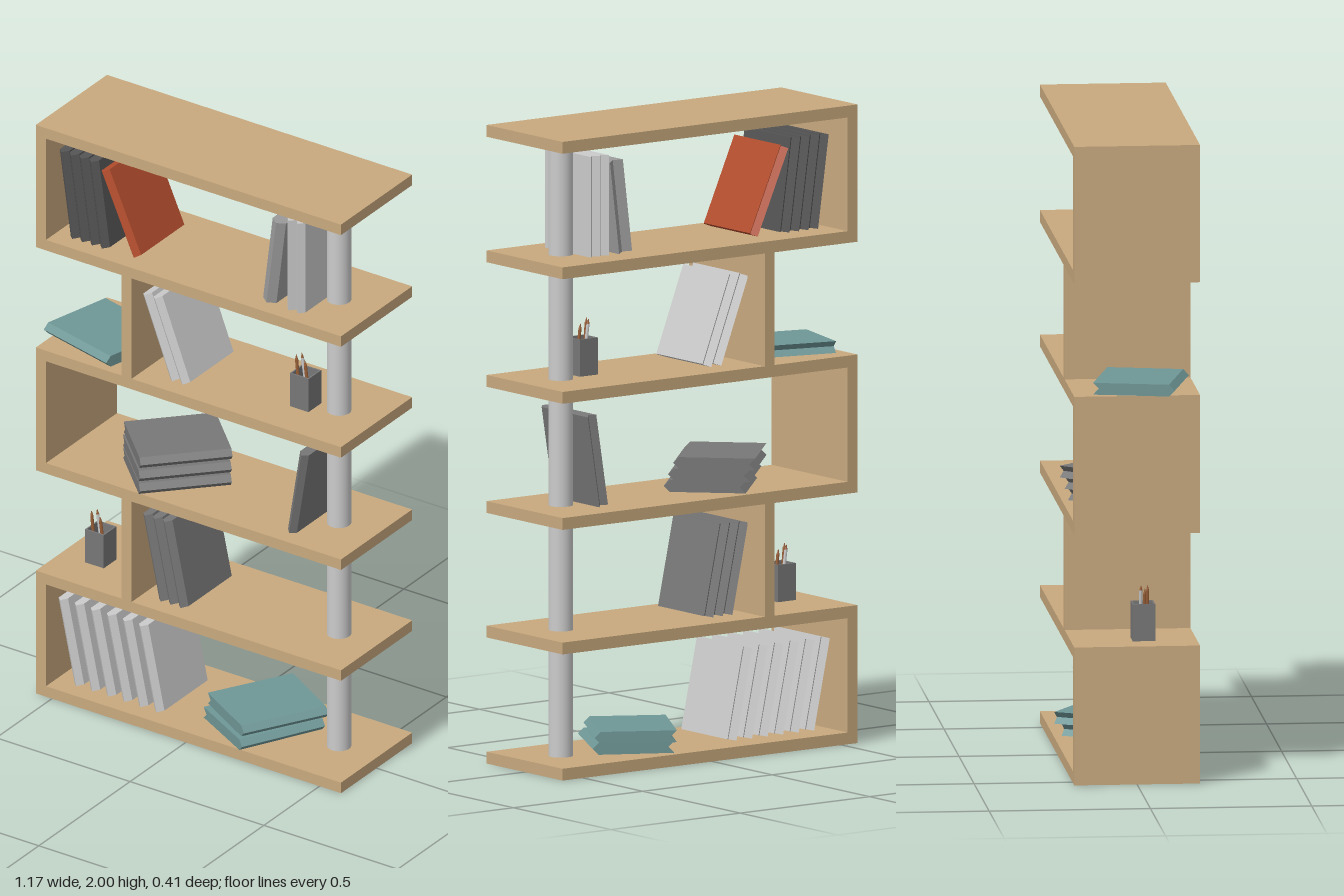
import * as THREE from 'three';

const mat = (color) => new THREE.MeshStandardMaterial({ color });
const M = {
  wood: mat(0xc8a97e), light: mat(0xcccccc), mid: mat(0x9a9a9a), dark: mat(0x777777),
  black: mat(0x555555), teal: mat(0x6f9696), red: mat(0xb54e2e), pencil: mat(0x9a6038),
};
const BOARD = 0.037;
const LEVELS = [0, 0.395, 0.785, 1.18, 1.57, 1.963]; // undersides of the boards
const top = (i) => LEVELS[i] + BOARD;

function add(parent, name, geometry, material, x = 0, y = 0, z = 0) {
  const mesh = new THREE.Mesh(geometry, material);
  mesh.name = name;
  mesh.position.set(x, y, z);
  parent.add(mesh);
  return mesh;
}

// Book standing on y = 0 with its ridged spine to +z and a notched fore-edge behind
function bookGeometry(w, h) {
  const outline = [[0, -0.13], [w / 2, -0.148], [w, -0.13], [w, 0.107], [w / 2, 0.088], [0, 0.107]];
  const shape = new THREE.Shape(outline.map(([x, y]) => new THREE.Vector2(x, y)));
  return new THREE.ExtrudeGeometry(shape, { depth: h, bevelEnabled: false }).rotateX(-Math.PI / 2);
}

// Row of leaning books; x is the lower left corner, positive lean tips the tops to -x
function bookRow(parent, name, level, { x, count = 1, pitch = 0.037, w = 0.036, h = 0.29, lean = 0, material }) {
  const row = new THREE.Group();
  row.name = name;
  const t = THREE.MathUtils.degToRad(lean);
  for (let i = 0; i < count; i++) {
    const geometry = bookGeometry(w, h);
    if (t < 0) geometry.translate(-w, 0, 0); // rest on the right corner
    const px = x + i * pitch + (t < 0 ? w * Math.cos(t) : 0);
    add(row, 'book', geometry, material, px, top(level), 0).rotation.z = t;
  }
  parent.add(row);
}

// Pile of lying books; each entry is [x, z, turn in degrees]
function bookPile(parent, name, level, material, entries) {
  const pile = new THREE.Group();
  pile.name = name;
  const w = 0.037, h = 0.29;
  entries.forEach(([x, z, turn], i) => {
    const geometry = bookGeometry(w, h).translate(-w / 2, -h / 2, -0.02).rotateZ(-Math.PI / 2);
    add(pile, 'lyingBook', geometry, material, x, top(level) + w * (i + 0.5), z)
      .rotation.y = THREE.MathUtils.degToRad(turn);
  });
  parent.add(pile);
}

// Square open cup with three sharpened pencils
function pencilCup(parent, level, x, z) {
  const cup = new THREE.Group();
  cup.name = 'pencilCup';
  cup.position.set(x, top(level), z);
  const square = (Type, r) => new Type([[-r, -r], [r, -r], [r, r], [-r, r]].map(([a, b]) => new THREE.Vector2(a, b)));
  const wall = square(THREE.Shape, 0.035);
  wall.holes.push(square(THREE.Path, 0.03));
  add(cup, 'cupWall', new THREE.ExtrudeGeometry(wall, { depth: 0.116, bevelEnabled: false }).rotateX(-Math.PI / 2), M.dark);
  add(cup, 'cupFloor', new THREE.BoxGeometry(0.062, 0.006, 0.062), M.dark, 0, 0.003, 0);
  const pencils = [[-0.012, 0.012, 5, M.pencil, 0.15], [0.004, -0.008, 8, M.light, 0.15], [0.02, 0.006, 7, M.pencil, 0.135]];
  for (const [px, pz, lean, material, length] of pencils) {
    const pencil = new THREE.Group();
    pencil.name = 'pencil';
    pencil.position.set(px, 0.008, pz);
    pencil.rotation.z = THREE.MathUtils.degToRad(lean);
    add(pencil, 'pencilBody', new THREE.CylinderGeometry(0.005, 0.005, length, 6), material, 0, length / 2, 0);
    add(pencil, 'pencilTip', new THREE.ConeGeometry(0.005, 0.018, 6), M.pencil, 0, length + 0.009, 0);
    cup.add(pencil);
  }
  parent.add(cup);
}

export function createModel() {
  const model = new THREE.Group();
  model.name = 'bookshelf';

  // Boards, with uprights alternating between the outer end and the middle
  LEVELS.forEach((y, i) => {
    add(model, 'shelfBoard', new THREE.BoxGeometry(1.14, BOARD, 0.39), M.wood, 0.01, y + BOARD / 2, 0);
    if (i === LEVELS.length - 1) return;
    const h = LEVELS[i + 1] - top(i);
    add(model, i % 2 ? 'middleUpright' : 'endUpright', new THREE.BoxGeometry(0.038, h, 0.39), M.wood,
      i % 2 ? -0.221 : -0.541, top(i) + h / 2, 0);
    // Round post between the boards
    add(model, 'post', new THREE.CylinderGeometry(0.038, 0.038, h, 32), M.light, 0.44, top(i) + h / 2, 0);
  });

  // Standing books
  bookRow(model, 'bottomBooks', 0, { x: -0.459, count: 6, pitch: 0.06, lean: 12, material: M.light });
  bookRow(model, 'secondShelfBooks', 1, { x: -0.143, count: 3, lean: 12, material: M.dark });
  bookRow(model, 'postBook', 2, { x: 0.338, w: 0.033, lean: -9, material: M.dark });
  bookRow(model, 'fourthShelfBooks', 3, { x: -0.1, count: 2, pitch: 0.039, lean: 21, material: M.light });
  bookRow(model, 'topDarkBooks', 4, { x: -0.474, count: 4, lean: 8, h: 0.295, material: M.black });
  bookRow(model, 'redBook', 4, { x: -0.241, w: 0.033, h: 0.29, lean: 24, material: M.red });
  bookRow(model, 'topLeaningBook', 4, { x: 0.245, w: 0.05, h: 0.292, lean: -7, material: M.mid });
  bookRow(model, 'topUprightBooks', 4, { x: 0.335, count: 2, pitch: 0.034, w: 0.034, h: 0.315, material: M.light });

  // Lying books
  bookPile(model, 'bottomPile', 0, M.teal, [[0.173, 0.018, 62], [0.173, -0.003, 60]]);
  bookPile(model, 'middlePile', 2, M.dark, [[-0.152, 0.017, 46], [-0.16, 0.006, 46], [-0.168, -0.01, 46]]);
  bookPile(model, 'singleLyingBook', 3, M.teal, [[-0.414, 0.025, -14]]);

  pencilCup(model, 1, -0.43, 0.03);
  pencilCup(model, 3, 0.335, 0.03);
  return model;
}
